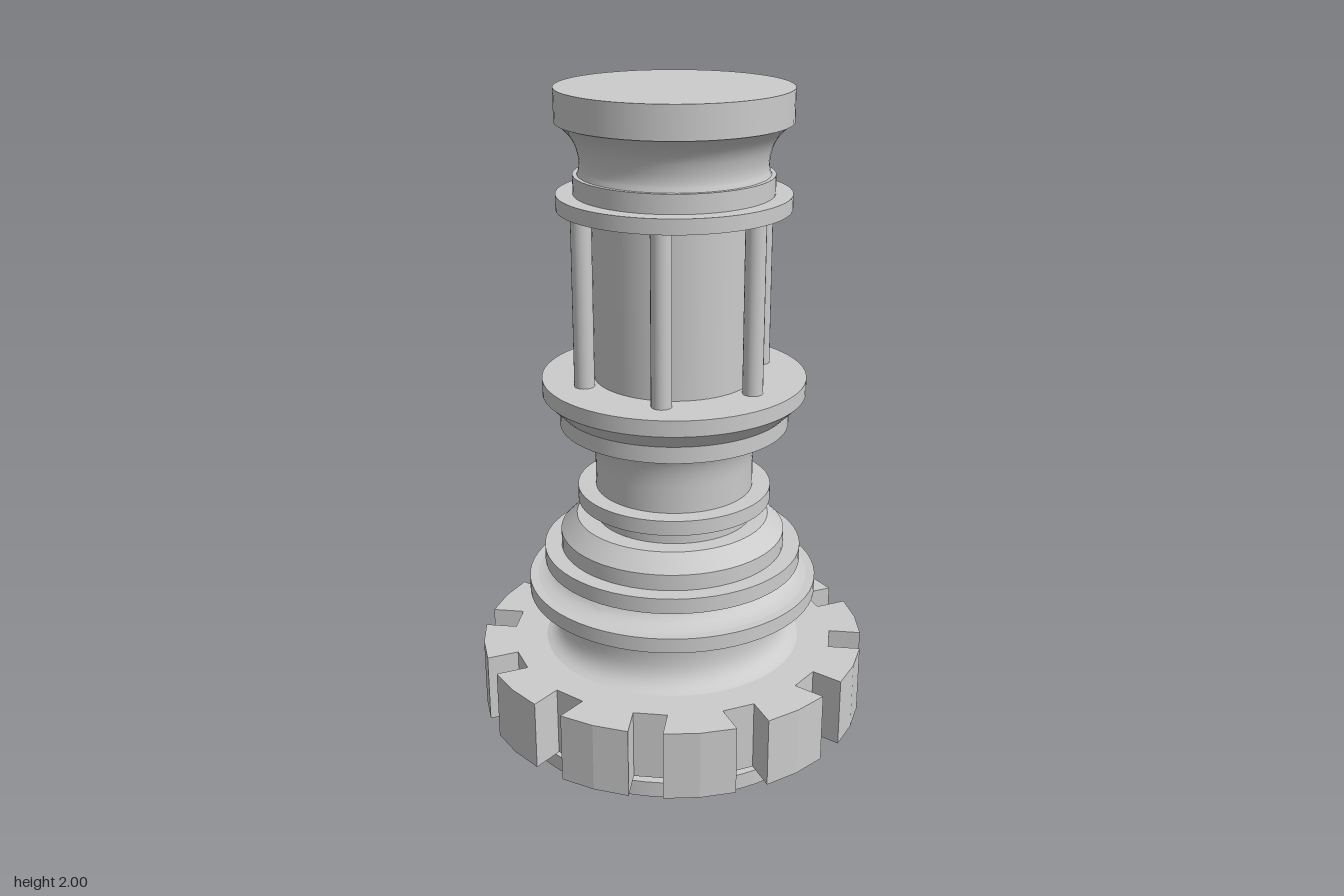
import * as THREE from 'three';
import { toCreasedNormals } from 'three/addons/utils/BufferGeometryUtils.js';

const SEGMENTS = 64;

export function createModel() {
  const model = new THREE.Group();
  model.name = 'turnedPillar';
  const material = new THREE.MeshStandardMaterial({ color: 0xcccccc });

  const add = (name, geometry, parent = model) => {
    const mesh = new THREE.Mesh(geometry, material);
    mesh.name = name;
    parent.add(mesh);
    return mesh;
  };

  // Plain or tapered disc between two heights
  const disc = (name, y0, y1, r0, r1 = r0, parent = model) => {
    const mesh = add(name, new THREE.CylinderGeometry(r1, r0, y1 - y0, SEGMENTS), parent);
    mesh.position.y = (y0 + y1) / 2;
    return mesh;
  };

  // Turned section: each entry is [r, y], or [control r, control y, r, y] for a curve
  const turned = (name, profile, parent = model) => {
    const path = new THREE.Path();
    path.moveTo(...profile[0]);
    for (const p of profile.slice(1)) {
      if (p.length === 4) path.quadraticCurveTo(...p);
      else path.lineTo(...p);
    }
    const geometry = new THREE.LatheGeometry(path.getPoints(8), SEGMENTS);
    return add(name, toCreasedNormals(geometry, 0.6), parent);
  };

  // Foot, separated from the notched wheel by a narrow gap
  disc('footDisc', 0, 0.05, 0.5);

  // Notched wheel: twelve teeth with parallel-sided slots
  const teeth = 12, outer = 0.6, inner = 0.5, halfSlot = 0.05;
  const pitch = (Math.PI * 2) / teeth;
  const edge = Math.asin(halfSlot / outer);
  const corners = [];
  for (let i = 0; i < teeth; i++) {
    const a = i * pitch;
    const c = Math.cos(a), s = Math.sin(a);
    // slot floor
    for (const w of [-halfSlot, halfSlot]) {
      corners.push(new THREE.Vector2(inner * c - w * s, inner * s + w * c));
    }
    // faceted rim of the tooth
    for (const t of [edge, pitch / 2, pitch - edge]) {
      corners.push(new THREE.Vector2(outer * Math.cos(a + t), outer * Math.sin(a + t)));
    }
  }
  const wheel = new THREE.ExtrudeGeometry(new THREE.Shape(corners), { depth: 0.217, bevelEnabled: false });
  wheel.rotateX(-Math.PI / 2);
  add('notchedWheel', wheel).position.y = 0.068;

  // Lower mouldings
  turned('lowerNeck', [[0.4, 0.285], [0.345, 0.3, 0.345, 0.37], [0.345, 0.41], [0.35, 0.45, 0.41, 0.458]]);
  disc('wideRing', 0.457, 0.503, 0.447);
  turned('lowerCove', [[0.42, 0.503], [0.355, 0.51, 0.347, 0.56]]);
  disc('middleRing', 0.557, 0.605, 0.397);
  turned('bevelledCollar', [[0.345, 0.605], [0.345, 0.655], [0.295, 0.705], [0, 0.705]]);

  // Upper shaft, very slightly off centre
  const shaft = new THREE.Group();
  shaft.name = 'shaft';
  shaft.position.set(0.004, 0, -0.004);
  model.add(shaft);

  turned('shaftNeck', [[0.24, 0.7], [0.24, 0.88], [0.243, 0.985, 0.29, 1.006]], shaft);
  disc('shaftRing', 0.757, 0.803, 0.295, 0.295, shaft);

  // Gallery floor with a tapered underside
  disc('galleryCollar', 1.005, 1.06, 0.345, 0.345, shaft);
  disc('galleryTaper', 1.055, 1.105, 0.345, 0.395, shaft);
  disc('galleryFloor', 1.105, 1.153, 0.395, 0.395, shaft);

  // Gallery core and its six rods
  disc('galleryCore', 1.15, 1.66, 0.24, 0.24, shaft);
  const rods = new THREE.Group();
  rods.name = 'galleryRods';
  shaft.add(rods);
  const rodGeometry = new THREE.CylinderGeometry(0.03, 0.03, 0.51, 20);
  for (let i = 0; i < 6; i++) {
    const a = (i * Math.PI) / 3;
    add('galleryRod', rodGeometry, rods).position.set(0.284 * Math.cos(a), 1.405, 0.284 * Math.sin(a));
  }

  // Capital
  disc('capitalRing', 1.658, 1.702, 0.34, 0.34, shaft);
  disc('capitalCollar', 1.702, 1.757, 0.29, 0.29, shaft);
  turned('capitalCove', [[0.278, 1.755], [0.265, 1.78, 0.275, 1.82], [0.285, 1.87, 0.338, 1.907]], shaft);
  disc('capitalTop', 1.905, 2, 0.339, 0.339, shaft);

  return model;
}
